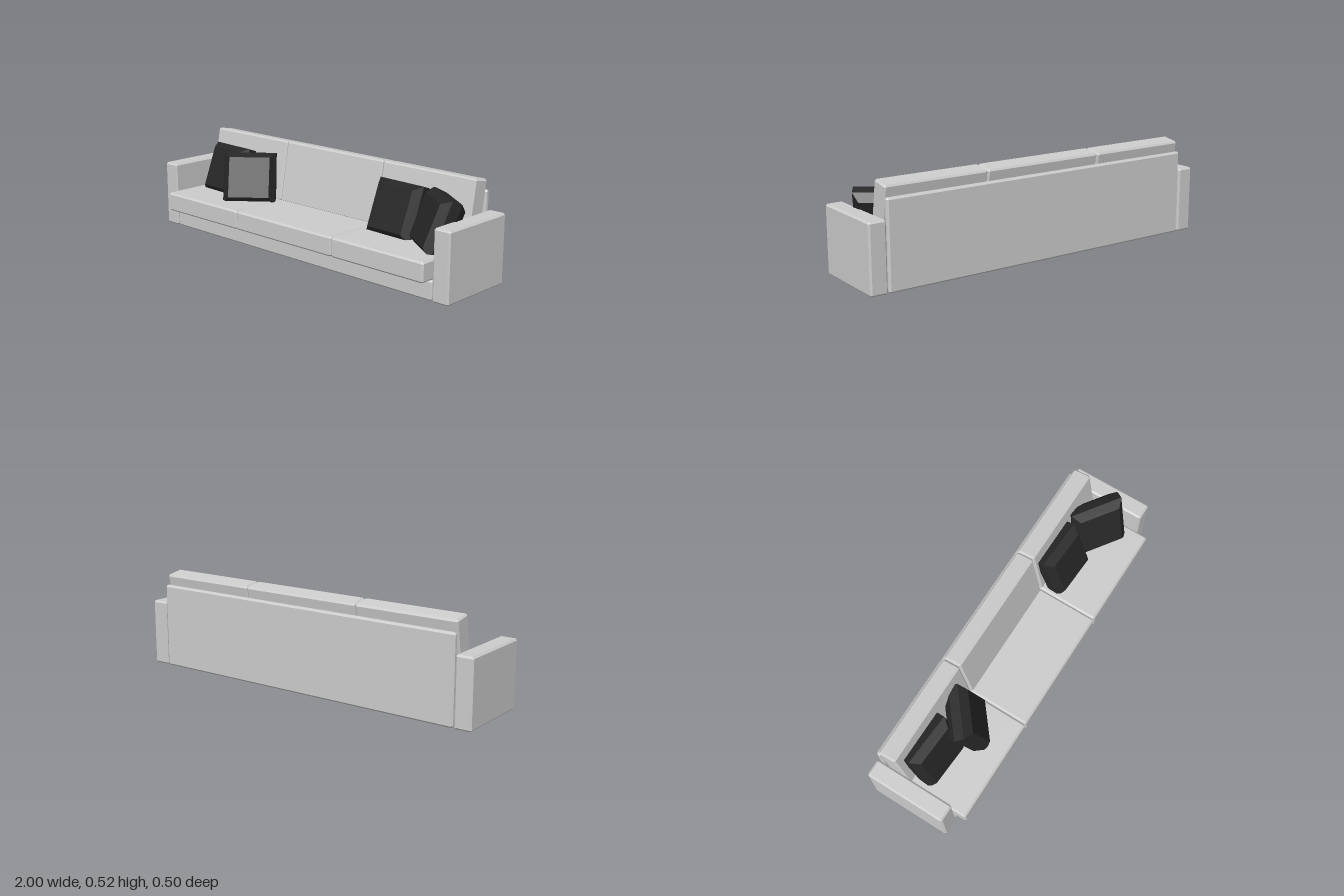
import * as THREE from 'three';
import { ConvexGeometry } from 'three/addons/geometries/ConvexGeometry.js';

const grey = new THREE.MeshStandardMaterial({ color: 0xcccccc, flatShading: true });
const dark = new THREE.MeshStandardMaterial({ color: 0x262626, flatShading: true });

// Box with every edge cut by a bevel of width c
function chamferBox(w, h, d, c = 0.009) {
  const pts = [];
  for (const x of [-w / 2, w / 2]) for (const y of [-h / 2, h / 2]) for (const z of [-d / 2, d / 2]) {
    const ix = x - Math.sign(x) * c, iy = y - Math.sign(y) * c, iz = z - Math.sign(z) * c;
    pts.push(new THREE.Vector3(x, iy, iz), new THREE.Vector3(ix, y, iz), new THREE.Vector3(ix, iy, z));
  }
  return new ConvexGeometry(pts);
}

// Square pillow: flat rim, bevelled to smaller front and back faces
function pillowGeometry(size, face, rim, depth) {
  const pts = [];
  for (const sx of [-0.5, 0.5]) for (const sy of [-0.5, 0.5]) for (const sz of [-0.5, 0.5]) {
    pts.push(new THREE.Vector3(sx * size, sy * size, sz * rim),
      new THREE.Vector3(sx * face, sy * face, sz * depth));
  }
  return new ConvexGeometry(pts);
}

export function createModel() {
  const sofa = new THREE.Group();
  sofa.name = 'sofa';

  const add = (name, geometry, material, x, y, z) => {
    const mesh = new THREE.Mesh(geometry, material);
    mesh.name = name;
    mesh.position.set(x, y, z);
    sofa.add(mesh);
    return mesh;
  };
  // Bevelled block given by its limits on each axis
  const block = (name, [x0, x1], [y0, y1], [z0, z1]) =>
    add(name, chamferBox(x1 - x0, y1 - y0, z1 - z0), grey, (x0 + x1) / 2, (y0 + y1) / 2, (z0 + z1) / 2);

  // Frame: arms, back panel and front rail, open underneath
  block('leftArm', [0.908, 1], [0, 0.353], [-0.25, 0.184]);
  block('rightArm', [-1, -0.908], [0, 0.353], [-0.25, 0.184]);
  block('backPanel', [-0.903, 0.903], [0, 0.45], [-0.25, -0.22]);
  block('frontRail', [-0.903, 0.903], [0, 0.1], [0.15, 0.18]);

  // Three seat cushions and three leaning back cushions
  for (const [side, x0, x1] of [['right', -0.903, -0.341], ['middle', -0.338, 0.338], ['left', 0.341, 0.903]]) {
    block(side + 'SeatCushion', [x0, x1], [0.102, 0.203], [-0.22, 0.248]);
    const back = add(side + 'BackCushion', chamferBox(x1 - x0, 0.33, 0.098), grey, (x0 + x1) / 2, 0.35, -0.153);
    back.rotation.x = -0.175;
  }

  // Four dark pillows: x, z, yaw
  const pillow = pillowGeometry(0.285, 0.22, 0.05, 0.13);
  const places = [[-0.72, -0.055, -0.06], [-0.495, 0, 0.69], [0.505, -0.055, -0.05], [0.782, -0.005, -0.61]];
  places.forEach(([x, z, yaw], i) => {
    const p = add('pillow' + (i + 1), pillow, dark, x, 0.307, z);
    p.rotation.set(-0.36, yaw, 0, 'YXZ');
  });

  return sofa;
}
